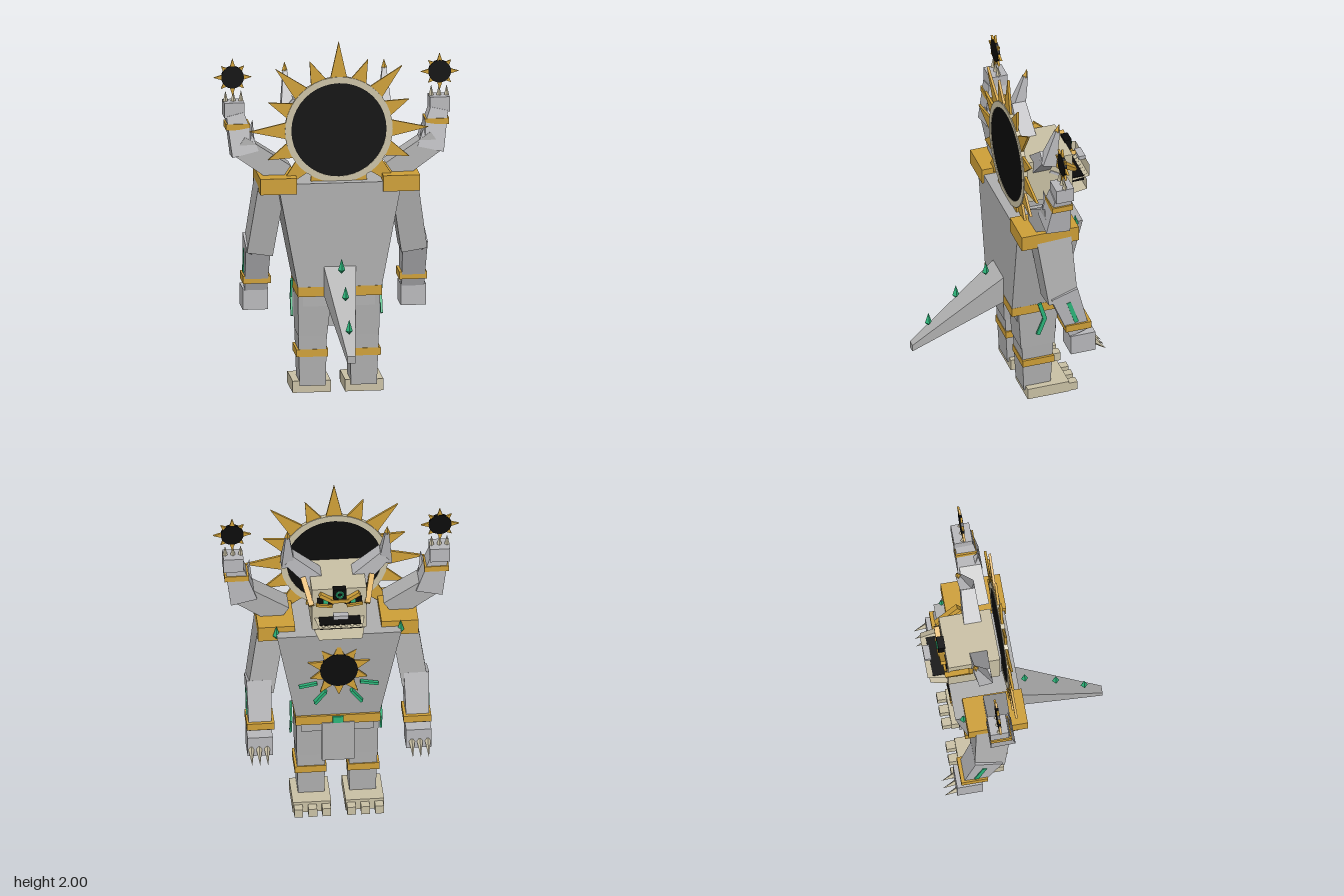
import * as THREE from 'three';

const mat = (name, color) => {
  const m = new THREE.MeshStandardMaterial({ color, flatShading: true });
  m.name = name;
  return m;
};
const V = (a) => new THREE.Vector3(...a);

export function createModel() {
  const root = new THREE.Group();
  root.name = 'guardianBeast';
  const grey = mat('stone grey', 0xb0b0b0);
  const light = mat('light grey', 0xb9b9bc);
  const gold = mat('gold', 0xcfa038);
  const cream = mat('bone', 0xcbc2a6);
  const black = mat('black', 0x0b0b0b);
  const green = mat('jade', 0x2cb57a);

  const add = (name, geo, m, parent = root) => {
    const mesh = new THREE.Mesh(geo, m);
    mesh.name = name;
    parent.add(mesh);
    return mesh;
  };
  // axis-aligned box from its limits
  const box = (name, m, x0, x1, y0, y1, z0, z1) => {
    const b = add(name, new THREE.BoxGeometry(Math.abs(x1 - x0), y1 - y0, Math.abs(z1 - z0)), m);
    b.position.set((x0 + x1) / 2, (y0 + y1) / 2, (z0 + z1) / 2);
    return b;
  };
  // box lofted between two rectangles [x0, x1, y, z0, z1]; needs x0 < x1, z0 < z1
  const loft = (name, m, lo, hi) => {
    const g = new THREE.BoxGeometry(1, 1, 1), p = g.attributes.position;
    for (let i = 0; i < p.count; i++) {
      const r = p.getY(i) > 0 ? hi : lo;
      p.setXYZ(i, p.getX(i) > 0 ? r[1] : r[0], r[2], p.getZ(i) > 0 ? r[4] : r[3]);
    }
    g.computeVertexNormals();
    return add(name, g, m);
  };
  // tapered box along a line; sizes are [width, depth] at each end
  const limb = (name, m, from, to, s0, s1) => {
    const a = V(from), b = V(to), d = b.clone().sub(a);
    const g = new THREE.BoxGeometry(1, d.length(), 1), p = g.attributes.position;
    for (let i = 0; i < p.count; i++) {
      const s = p.getY(i) > 0 ? s1 : s0;
      p.setX(i, p.getX(i) * s[0]);
      p.setZ(i, p.getZ(i) * s[1]);
    }
    g.computeVertexNormals();
    const mesh = add(name, g, m);
    mesh.position.copy(a.add(b).multiplyScalar(0.5));
    mesh.quaternion.setFromUnitVectors(new THREE.Vector3(0, 1, 0), d.normalize());
    return mesh;
  };
  const spike = (name, m, from, to, r) => {
    const a = V(from), d = V(to).sub(a);
    const c = add(name, new THREE.ConeGeometry(r, d.length(), 4), m);
    c.position.copy(a).addScaledVector(d, 0.5);
    c.quaternion.setFromUnitVectors(new THREE.Vector3(0, 1, 0), d.normalize());
    return c;
  };
  // upright faceted crystal
  const gem = (name, x, y, z) => {
    spike(name, green, [x, y - 0.015, z], [x, y + 0.05, z], 0.02);
    spike(name, green, [x, y - 0.015, z], [x, y - 0.035, z], 0.02);
  };
  // upright disc with flat rays around it
  const sun = (name, [x, y, z], r, inner, n, long, short, w, t) => {
    const g = new THREE.Group();
    g.name = name;
    g.position.set(x, y, z);
    root.add(g);
    add('disc', new THREE.CylinderGeometry(r, r, t * 1.3, 32), black, g).rotation.x = Math.PI / 2;
    for (let i = 0; i < n; i++) {
      const len = i % 2 ? short : long;
      const s = new THREE.Shape([[-w, inner], [w, inner], [0, len]].map((q) => new THREE.Vector2(...q)));
      const ray = add('ray', new THREE.ExtrudeGeometry(s, { depth: t, bevelEnabled: false }).translate(0, 0, -t / 2), gold, g);
      ray.rotation.z = (i / n) * Math.PI * 2;
    }
    return g;
  };

  // body
  loft('torso', grey, [-0.225, 0.225, 0.57, -0.29, -0.01], [-0.345, 0.345, 1.21, -0.385, -0.005]);
  box('belt', gold, -0.235, 0.235, 0.565, 0.62, -0.31, -0.008);
  box('buckle', green, -0.03, 0.03, 0.575, 0.615, -0.32, -0.31);
  box('loincloth', grey, -0.09, 0.09, 0.325, 0.575, -0.315, -0.303);
  box('hips', grey, -0.2, 0.2, 0.5, 0.57, -0.28, -0.05);
  box('neck', grey, -0.13, 0.13, 1.2, 1.29, -0.34, -0.1);

  // tail, its ends kept upright
  const tg = new THREE.BoxGeometry(1, 1, 1), tp = tg.attributes.position;
  for (let i = 0; i < tp.count; i++) {
    const tip = tp.getZ(i) > 0, up = tp.getY(i) > 0;
    tp.setXYZ(i, tp.getX(i) * (tip ? 0.044 : 0.18),
      tip ? (up ? 0.345 : 0.305) : (up ? 0.735 : 0.57), tip ? 0.5 : -0.01);
  }
  tg.computeVertexNormals();
  add('tail', tg, grey);
  [[0.745, 0.065], [0.63, 0.24], [0.48, 0.4]].forEach(([y, z]) => gem('tailCrystal', 0, y, z));

  // sun wheel behind the head
  const wheel = sun('sunWheel', [0, 1.5, -0.068], 0.27, 0.285, 16, 0.5, 0.425, 0.048, 0.014);
  const ring = new THREE.Shape().absarc(0, 0, 0.3, 0, Math.PI * 2);
  ring.holes.push(new THREE.Path().absarc(0, 0, 0.265, 0, Math.PI * 2, true));
  add('rim', new THREE.ExtrudeGeometry(ring, { depth: 0.024, bevelEnabled: false, curveSegments: 20 }).translate(0, 0, -0.012), cream, wheel);

  // chest emblem with jade streaks
  sun('chestEmblem', [0, 0.965, -0.365], 0.105, 0.095, 10, 0.18, 0.165, 0.03, 0.012);
  for (const s of [-1, 1]) {
    limb('chestStreak', green, [s * 0.12, 0.87, -0.352], [s * 0.22, 0.85, -0.35], [0.016, 0.02], [0.016, 0.02]);
    limb('chestStreak', green, [s * 0.13, 0.73, -0.335], [s * 0.07, 0.81, -0.345], [0.016, 0.03], [0.016, 0.03]);
  }

  // head and jaws
  loft('head', cream, [-0.152, 0.152, 1.26, -0.39, -0.1], [-0.152, 0.152, 1.525, -0.39, -0.1]);
  box('headBack', grey, -0.135, 0.135, 1.28, 1.5, -0.1, -0.088);
  for (const [name, y0, y1, z] of [['upperJaw', 1.335, 1.41, -0.5], ['lowerJaw', 1.25, 1.315, -0.485]]) {
    const j = loft(name, cream, [-0.14, 0.14, 0, -0.06, 0.06], [-0.12, 0.12, z + 0.38, -0.06, 0.06]);
    const p = j.geometry.attributes.position;
    for (let i = 0; i < p.count; i++) {
      p.setXYZ(i, p.getX(i), p.getZ(i) > 0 ? y1 : y0, -0.38 + p.getY(i));
    }
    // swapping two axes mirrors the faces, so turn them back
    const ix = j.geometry.index;
    for (let i = 0; i < ix.count; i += 3) {
      const k = ix.getX(i);
      ix.setX(i, ix.getX(i + 1));
      ix.setX(i + 1, k);
    }
    j.geometry.computeVertexNormals();
  }
  box('mouth', black, -0.115, 0.115, 1.31, 1.34, -0.47, -0.38);
  for (let i = -3; i <= 3; i++) {
    spike('tooth', cream, [i * 0.032, 1.338, -0.478], [i * 0.032, 1.312, -0.478], 0.012);
  }
  box('nose', light, -0.042, 0.042, 1.395, 1.418, -0.503, -0.465);

  // forehead eye
  box('foreheadPlate', black, -0.036, 0.036, 1.475, 1.54, -0.425, -0.385);
  add('foreheadEye', new THREE.TorusGeometry(0.018, 0.006, 6, 16), green).position.set(0, 1.508, -0.426);
  box('foreheadFrame', gold, -0.05, 0.05, 1.455, 1.475, -0.43, -0.385);

  for (const s of [-1, 1]) {
    // face
    box('eye', black, s * 0.03, s * 0.125, 1.425, 1.47, -0.396, -0.388);
    box('pupil', green, s * 0.065, s * 0.09, 1.435, 1.458, -0.401, -0.394);
    limb('brow', gold, [s * 0.03, 1.455, -0.41], [s * 0.11, 1.505, -0.41], [0.022, 0.03], [0.022, 0.03]);
    limb('lowerLid', gold, [s * 0.04, 1.418, -0.4], [s * 0.13, 1.43, -0.4], [0.014, 0.02], [0.014, 0.02]);
    limb('cheekBar', gold, [s * 0.155, 1.43, -0.405], [s * 0.19, 1.525, -0.27], [0.03, 0.02], [0.03, 0.04]);
    limb('cheekStripe', light, [s * 0.153, 1.385, -0.35], [s * 0.153, 1.44, -0.26], [0.008, 0.015], [0.008, 0.015]);
    // horn
    limb('hornBase', light, [s * 0.11, 1.48, -0.21], [s * 0.265, 1.63, -0.21], [0.1, 0.1], [0.07, 0.08]);
    limb('horn', light, [s * 0.27, 1.59, -0.205], [s * 0.277, 1.8, -0.26], [0.075, 0.08], [0.022, 0.025]);
    spike('hornTip', gold, [s * 0.277, 1.795, -0.258], [s * 0.277, 1.845, -0.27], 0.017);

    // shoulder
    box('shoulderPad', gold, s * 0.24, s * 0.445, 1.155, 1.245, -0.328, 0.005);
    gem('shoulderCrystal', s * 0.345, 1.21, -0.34);

    // lower arm
    limb('upperArm', grey, [s * 0.43, 0.79, -0.22], [s * 0.37, 1.18, -0.185], [0.145, 0.17], [0.15, 0.2]);
    limb('forearm', light, [s * 0.437, 0.57, -0.315], [s * 0.437, 0.85, -0.225], [0.125, 0.12], [0.14, 0.16]);
    for (const x of [0.385, 0.475]) {
      spike('elbowSpike', light, [s * x, 0.79, -0.18], [s * x, 0.88, -0.15], 0.03);
    }
    limb('armStreak', green, [s * 0.503, 0.65, -0.295], [s * 0.503, 0.79, -0.248], [0.012, 0.024], [0.012, 0.024]);
    box('wristBand', gold, s * 0.358, s * 0.512, 0.595, 0.637, -0.38, -0.23);
    box('hand', light, s * 0.37, s * 0.51, 0.44, 0.56, -0.403, -0.26);
    for (const x of [0.402, 0.446, 0.49]) {
      spike('claw', cream, [s * x, 0.49, -0.395], [s * x, 0.42, -0.472], 0.018);
    }

    // raised arm with small sun
    limb('raisedUpperArm', grey, [s * 0.3, 1.24, -0.15], [s * 0.55, 1.41, -0.16], [0.13, 0.13], [0.12, 0.12]);
    limb('raisedForearm', light, [s * 0.515, 1.36, -0.16], [s * 0.568, 1.58, -0.18], [0.15, 0.14], [0.1, 0.1]);
    spike('raisedElbowSpike', light, [s * 0.49, 1.43, -0.13], [s * 0.475, 1.56, -0.11], 0.03);
    box('raisedWristBand', gold, s * 0.488, s * 0.622, 1.5, 1.533, -0.235, -0.115);
    box('raisedHand', light, s * 0.517, s * 0.628, 1.565, 1.65, -0.238, -0.135);
    for (const x of [0.53, 0.573, 0.616]) {
      spike('raisedClaw', cream, [s * x, 1.645, -0.187], [s * x, 1.71, -0.187], 0.015);
    }
    sun('handSun', [s * 0.577, 1.785, -0.187], 0.063, 0.055, 8, 0.105, 0.09, 0.016, 0.012);

    // leg
    const X = (a, b) => (s > 0 ? [a, b] : [-b, -a]);
    loft('thigh', grey, [...X(0.065, 0.225), 0.33, -0.26, -0.065], [...X(0.04, 0.228), 0.57, -0.275, -0.05]);
    loft('shin', grey, [...X(0.07, 0.215), 0.04, -0.24, -0.085], [...X(0.065, 0.225), 0.36, -0.255, -0.07]);
    box('kneeBand', gold, s * 0.058, s * 0.235, 0.208, 0.25, -0.256, -0.072);
    box('foot', cream, s * 0.04, s * 0.253, 0, 0.066, -0.337, -0.095);
    for (const x of [0.045, 0.122, 0.2]) {
      box('toe', cream, s * x, s * (x + 0.048), 0, 0.05, -0.388, -0.33);
    }
    limb('legStreak', green, [s * 0.25, 0.425, -0.155], [s * 0.25, 0.53, -0.197], [0.012, 0.022], [0.012, 0.022]);
    limb('legStreak', green, [s * 0.25, 0.52, -0.197], [s * 0.25, 0.63, -0.165], [0.012, 0.022], [0.012, 0.022]);
  }
  return root;
}
